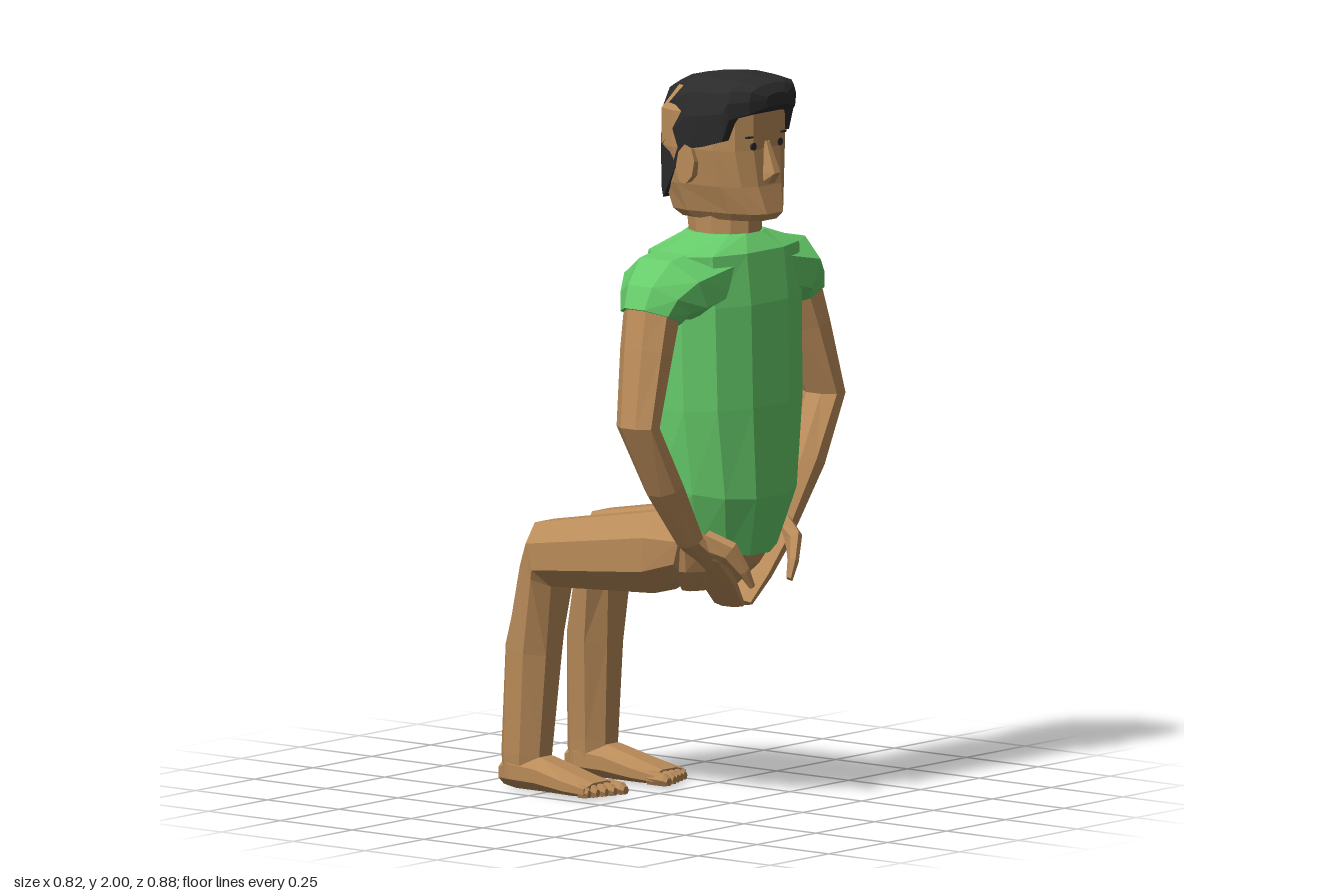
import * as THREE from 'three';

const material = (name, color) => {
  const m = new THREE.MeshStandardMaterial({ color });
  m.name = name;
  return m;
};

// Flat-faced solid skinned over rings of points, capped at both ends
function loft(rings) {
  const tris = [], n = rings[0].length;
  for (let i = 0; i < rings.length - 1; i++) {
    for (let j = 0; j < n; j++) {
      const k = (j + 1) % n, a = rings[i], b = rings[i + 1];
      tris.push([a[j], a[k], b[k]], [a[j], b[k], b[j]]);
    }
  }
  const last = rings[rings.length - 1];
  for (let j = 1; j < n - 1; j++) {
    tris.push([rings[0][0], rings[0][j + 1], rings[0][j]], [last[0], last[j], last[j + 1]]);
  }
  // Turn every face outward by checking the enclosed volume
  const o = rings[0][0].clone(), p = new THREE.Vector3(), q = new THREE.Vector3(), r = new THREE.Vector3();
  let volume = 0;
  for (const [a, b, c] of tris) {
    volume += p.subVectors(a, o).dot(q.subVectors(b, o).cross(r.subVectors(c, o)));
  }
  const points = tris.flatMap(([a, b, c]) => (volume < 0 ? [a, c, b] : [a, b, c]));
  const geometry = new THREE.BufferGeometry().setFromPoints(points);
  geometry.computeVertexNormals();
  return geometry;
}

// Rounded ring: centre c, half-extent vectors a and b; taper narrows the a side
function ring(c, a, b, side = 1, n = 8, e = 1, taper = 0) {
  const f = (v) => Math.sign(v) * (Math.abs(v) / Math.cos(Math.PI / n)) ** e;
  return Array.from({ length: n }, (_, i) => {
    const t = ((i + 0.5) / n) * Math.PI * 2;
    const u = f(Math.cos(t)), v = f(Math.sin(t)) * (1 - taper * u);
    return new THREE.Vector3(
      c[0] + a[0] * u + b[0] * v,
      c[1] + a[1] * u + b[1] * v,
      (c[2] + a[2] * u + b[2] * v) * side
    );
  });
}

// Upright body: rows of [y, back x, front x, half width, tilt, taper]
const body = (rows, e) => loft(rows.map(([y, x0, x1, w, tilt = 0, taper = 0]) =>
  ring([(x0 + x1) / 2, y, 0], [(x1 - x0) / 2, tilt, 0], [0, 0, w], 1, 12, e, taper)));

// Limb: rows of [centre, a, b]
const limb = (rows, side, n = 8) => loft(rows.map(([c, a, b]) => ring(c, a, b, side, n)));

export function createModel() {
  const model = new THREE.Group();
  const skin = material('skin', 0xb98b59);
  const shirt = material('green shirt', 0x66cc6a);
  const black = material('black hair', 0x2b2b2b);

  const add = (name, geometry, mat) => {
    const mesh = new THREE.Mesh(geometry, mat);
    mesh.name = name;
    model.add(mesh);
    return mesh;
  };

  add('shirtBody', body([
    [1.565, 0.13, 0.33, 0.1],
    [1.52, 0.08, 0.37, 0.24],
    [1.38, 0.05, 0.385, 0.24],
    [1.1, 0.055, 0.39, 0.235],
    [0.88, 0.08, 0.39, 0.215, -0.03, 0.1],
    [0.75, 0.11, 0.35, 0.18, -0.06, 0.28],
  ], 0.85), shirt);

  add('pelvis', body([
    [0.8, 0.12, 0.34, 0.17],
    [0.73, 0.12, 0.32, 0.2],
    [0.65, 0.14, 0.29, 0.18],
    [0.59, 0.16, 0.24, 0.13],
  ], 0.85), skin);

  add('neck', body([
    [1.5, 0.14, 0.33, 0.09],
    [1.64, 0.12, 0.33, 0.092],
  ]), skin);

  add('head', body([
    [1.605, 0.13, 0.385, 0.085, 0, 0.25],
    [1.625, 0.105, 0.403, 0.1, 0, 0.25],
    [1.7, 0.09, 0.385, 0.125, 0, 0.15],
    [1.8, 0.09, 0.375, 0.142, 0, 0.12],
    [1.9, 0.09, 0.375, 0.142, 0, 0.12],
    [1.96, 0.12, 0.33, 0.1],
  ], 0.6), skin);

  // Hair: arches [x, lower edge, crown, half width] from the nape to the fringe
  const arch = [[0, 0.95], [0.45, 1], [0.78, 0.9], [0.95, 0.55], [1, 0]];
  const outline = [...arch, ...arch.slice(0, 4).reverse().map(([h, w]) => [h, -w])];
  add('hair', loft([
    [0.052, 1.74, 1.9, 0.035],
    [0.075, 1.67, 1.955, 0.085],
    [0.115, 1.655, 1.975, 0.13],
    [0.17, 1.74, 1.988, 0.15],
    [0.22, 1.8, 1.997, 0.156],
    [0.27, 1.81, 2.0, 0.156],
    [0.335, 1.83, 1.995, 0.15],
    [0.355, 1.89, 1.99, 0.144],
    [0.395, 1.905, 1.98, 0.1],
    [0.412, 1.92, 1.955, 0.045],
  ].map(([x, lo, hi, w]) => outline.map(([h, z]) =>
    new THREE.Vector3(x, lo + (hi - lo) * h, z * w)))), black);

  add('nose', limb([
    [[0.37, 1.82, 0], [0.008, 0, 0], [0, 0, 0.012]],
    [[0.38, 1.735, 0], [0.032, 0, 0], [0, 0, 0.022]],
    [[0.375, 1.705, 0], [0.015, 0, 0], [0, 0, 0.026]],
  ], 1, 6), skin);

  for (const side of [1, -1]) {
    const tag = side > 0 ? 'Left' : 'Right';

    // Face details
    const eye = add('eye' + tag, new THREE.CylinderGeometry(0.011, 0.011, 0.009, 8), black);
    eye.rotation.z = -Math.PI / 2;
    eye.position.set(0.372, 1.81, 0.056 * side);
    const brow = add('brow' + tag, new THREE.BoxGeometry(0.008, 0.005, 0.05), black);
    brow.position.set(0.371, 1.836, 0.058 * side);
    add('ear' + tag, limb([
      [[0.22, 1.755, 0.12], [0.022, -0.01, 0], [0.008, 0.04, 0]],
      [[0.215, 1.758, 0.153], [0.028, -0.01, 0], [0.01, 0.05, 0]],
    ], side), skin);

    // Short sleeve and bare arm
    add('sleeve' + tag, limb([
      [[0.22, 1.455, 0.1], [0.14, 0, 0], [0, 0.09, 0.01]],
      [[0.22, 1.425, 0.24], [0.13, 0, 0], [0, 0.09, 0.045]],
      [[0.22, 1.395, 0.285], [0.1, 0, 0], [0, 0.055, 0.065]],
      [[0.22, 1.36, 0.303], [0.083, 0, 0], [0, 0.03, 0.072]],
    ], side), shirt);
    add('arm' + tag, limb([
      [[0.22, 1.38, 0.298], [0.076, 0, 0], [0, 0.025, 0.064]],
      [[0.23, 1.27, 0.335], [0.072, 0, 0], [0, 0.015, 0.057]],
      [[0.25, 1.075, 0.395], [0.06, 0, 0], [0, 0, 0.044]],
      [[0.262, 0.9, 0.3], [0.054, 0, 0], [0, -0.02, 0.042]],
      [[0.268, 0.745, 0.2], [0.04, 0, 0], [0, -0.018, 0.026]],
    ], side), skin);
    add('hand' + tag, limb([
      [[0.268, 0.75, 0.203], [0.038, 0, 0], [0, -0.016, 0.023]],
      [[0.27, 0.7, 0.15], [0.055, 0, 0], [0, -0.015, 0.018]],
      [[0.265, 0.62, 0.075], [0.06, 0, 0], [0, -0.013, 0.014]],
      [[0.258, 0.548, 0.016], [0.05, 0, 0], [0, -0.008, 0.008]],
    ], side), skin);
    add('thumb' + tag, limb([
      [[0.29, 0.735, 0.175], [0.02, 0.03, 0], [0, -0.01, 0.014]],
      [[0.355, 0.71, 0.14], [0.022, 0.022, 0], [0, -0.01, 0.013]],
      [[0.38, 0.66, 0.105], [0.014, 0.003, 0], [0, -0.008, 0.012]],
      [[0.388, 0.615, 0.08], [0.008, 0, 0], [0, -0.005, 0.007]],
    ], side, 6), skin);

    // Bent leg from hip over the knee to the heel
    add('leg' + tag, limb([
      [[0.23, 0.705, 0.12], [0.02, 0.075, 0], [0, 0, 0.09]],
      [[0.13, 0.693, 0.122], [0.01, 0.113, 0], [0, 0, 0.112]],
      [[-0.275, 0.645, 0.122], [-0.025, 0.085, 0], [0, 0, 0.098]],
      [[-0.29, 0.6, 0.122], [-0.045, 0.04, 0], [0, 0, 0.094]],
      [[-0.33, 0.38, 0.13], [-0.07, 0.01, 0], [0, 0, 0.082]],
      [[-0.346, 0.1, 0.14], [-0.066, 0, 0], [0, 0, 0.066]],
      [[-0.348, 0.03, 0.14], [-0.062, 0, 0], [0, 0, 0.062]],
    ], side), skin);
    add('foot' + tag, limb([
      [[-0.412, 0.04, 0.14], [0, 0.035, 0], [0, 0, 0.04]],
      [[-0.36, 0.05, 0.14], [0, 0.05, 0], [0, 0, 0.066]],
      [[-0.27, 0.045, 0.142], [0, 0.045, 0], [0, 0, 0.062]],
      [[-0.16, 0.031, 0.146], [0, 0.031, 0], [0, 0, 0.074]],
      [[-0.085, 0.022, 0.147], [0, 0.02, 0], [0, 0, 0.07]],
    ], side), skin);
    for (let i = 0; i < 5; i++) {
      const size = i === 0 ? 0.015 : 0.011;
      const z = i === 0 ? 0.092 : 0.1 + i * 0.026;
      const tip = -0.04 - i * 0.009;
      add('toe' + tag + (i + 1), limb([
        [[-0.11, 0.022, z], [0, 0.018, 0], [0, 0, size]],
        [[tip - 0.012, 0.02, z], [0, 0.016, 0], [0, 0, size]],
        [[tip, 0.016, z], [0, 0.01, 0], [0, 0, size * 0.7]],
      ], side, 6), skin);
    }
  }
  return model;
}
